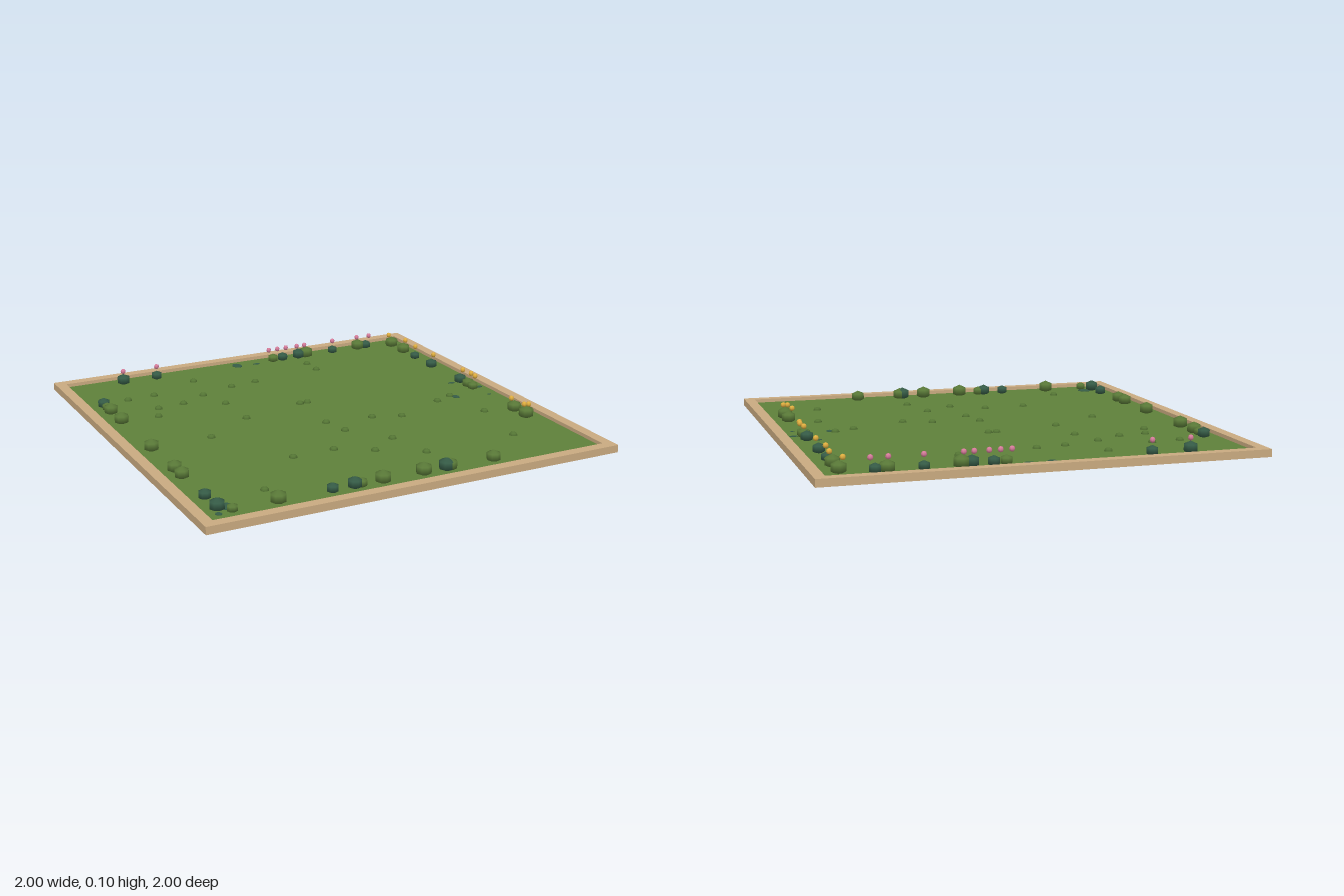
import * as THREE from 'three';

const mat = (name, color) => {
  const m = new THREE.MeshStandardMaterial({ color });
  m.name = name;
  return m;
};

export function createModel() {
  const garden = new THREE.Group();
  garden.name = 'garden';
  const lawnGreen = mat('lawn green', 0x5e803a);
  const tan = mat('timber tan', 0xc9aa80);
  const leaf = mat('leaf green', 0x5a7a38);
  const darkLeaf = mat('dark leaf green', 0x365c47);
  const tuftGreen = mat('tuft green', 0x547534);
  const pink = mat('pink petals', 0xd87d9c);
  const yellow = mat('yellow petals', 0xe2b040);
  const LAWN = 0.018;

  const add = (parent, name, geometry, material, x = 0, y = 0, z = 0) => {
    const mesh = new THREE.Mesh(geometry, material);
    mesh.name = name;
    mesh.position.set(x, y, z);
    parent.add(mesh);
    return mesh;
  };
  const group = (name) => {
    const g = new THREE.Group();
    g.name = name;
    garden.add(g);
    return g;
  };

  // Thin lawn slab inside the border
  add(garden, 'lawn', new THREE.BoxGeometry(1.9, 0.014, 1.9), lawnGreen, 0, LAWN - 0.007, 0);

  // Timber border: square ring
  const square = (Type, h) => new Type([[-h, -h], [h, -h], [h, h], [-h, h]].map(p => new THREE.Vector2(...p)));
  const ring = square(THREE.Shape, 1);
  ring.holes.push(square(THREE.Path, 0.95));
  const ringGeo = new THREE.ExtrudeGeometry(ring, { depth: 0.035, bevelEnabled: false });
  ringGeo.rotateX(-Math.PI / 2);
  add(garden, 'border', ringGeo, tan);

  // Bushes: [position along row, radius, dark leaves]
  const bushGeo = new THREE.SphereGeometry(1, 8, 3);
  const bushRow = (name, place, list) => {
    const g = group(name);
    for (const [t, r, dark] of list) {
      const [x, z] = place(t);
      add(g, 'bush', bushGeo, dark ? darkLeaf : leaf, x, LAWN + 0.6 * r, z).scale.set(r, 0.82 * r, r);
    }
  };
  bushRow('backBushes', t => [t, -0.88], [
    [-0.67, 0.036, 1], [-0.49, 0.03, 1], [0.17, 0.03, 0], [0.225, 0.03, 1], [0.32, 0.036, 1],
    [0.365, 0.04, 0], [0.525, 0.028, 1], [0.68, 0.038, 0], [0.73, 0.03, 1],
  ]);
  bushRow('leftBushes', t => [0.873, t], [
    [-0.84, 0.038, 0], [-0.71, 0.038, 0], [-0.585, 0.027, 1], [-0.415, 0.032, 1], [-0.13, 0.033, 1],
    [-0.055, 0.032, 0], [-0.01, 0.028, 0], [0.36, 0.037, 0], [0.46, 0.04, 0],
  ]);
  bushRow('rightBushes', t => [-0.877, t], [
    [-0.58, 0.033, 1], [-0.53, 0.027, 0], [-0.475, 0.037, 0], [-0.325, 0.039, 0], [0.075, 0.039, 0],
    [0.355, 0.037, 0], [0.44, 0.037, 0], [0.695, 0.032, 1], [0.825, 0.038, 1],
  ]);
  bushRow('frontBushes', t => [t, 0.87], [
    [-0.83, 0.027, 0], [-0.625, 0.04, 0], [-0.375, 0.03, 1], [-0.27, 0.036, 1], [-0.24, 0.03, 0],
    [-0.135, 0.04, 0], [0.065, 0.04, 0], [0.18, 0.04, 1], [0.195, 0.038, 0], [0.42, 0.036, 0],
  ]);

  // Blossoms resting on the back and left bushes
  const blossomGeo = new THREE.SphereGeometry(0.0135, 6, 4);
  const pinks = group('pinkBlossoms');
  for (const x of [-0.67, -0.49, 0.145, 0.195, 0.245, 0.31, 0.355, 0.525, 0.675, 0.75])
    add(pinks, 'blossom', blossomGeo, pink, x, 0.083, -0.88);
  const yellows = group('yellowBlossoms');
  for (const [x, z] of [[0.855, -0.84], [0.885, -0.71], [0.875, -0.585], [0.885, -0.415], [0.885, -0.125],
    [0.89, -0.055], [0.885, -0.01], [0.855, 0.36], [0.86, 0.46], [0.88, 0.468]])
    add(yellows, 'blossom', blossomGeo, yellow, x, 0.083, z);

  // Low grass tufts scattered over the lawn
  const tuftGeo = new THREE.SphereGeometry(0.02, 8, 4);
  tuftGeo.scale(1, 0.8, 1);
  const tufts = group('grassTufts');
  for (const [x, z] of [
    [-0.34, -0.75], [0.31, -0.755], [0.31, -0.645], [-0.74, -0.62], [-0.6, -0.63], [-0.2, -0.585],
    [-0.06, -0.605], [-0.38, -0.525], [-0.65, -0.435], [-0.515, -0.45], [-0.33, -0.36], [-0.69, -0.33],
    [-0.325, -0.12], [-0.005, -0.195], [0.035, -0.195], [-0.575, 0.045], [-0.015, 0.105], [0.215, 0.135],
    [0.35, 0.185], [0.015, 0.24], [0.615, 0.075], [0.71, 0.035], [0.74, 0.305], [-0.35, 0.44],
    [-0.145, 0.435], [0.16, 0.43], [0.015, 0.53], [0.21, 0.65], [0.68, 0.64], [-0.62, 0.725],
  ]) add(tufts, 'tuft', tuftGeo, tuftGreen, x, LAWN, z);

  // Thin dark ground-cover patches: [x, z, half width, half depth]
  const patchGeo = new THREE.CylinderGeometry(1, 1, 0.002, 7);
  const patches = group('groundCover');
  for (const [x, z, a, b] of [
    [-0.035, -0.89, 0.025, 0.035], [0.255, -0.925, 0.025, 0.022], [0.07, -0.875, 0.02, 0.01],
    [0.73, 0.06, 0.018, 0.025], [-0.83, 0.815, 0.033, 0.04], [0.825, -0.135, 0.02, 0.01],
    [0.915, -0.02, 0.02, 0.012], [-0.89, 0.87, 0.015, 0.018], [0.9, 0.1, 0.01, 0.006],
  ]) add(patches, 'patch', patchGeo, darkLeaf, x, LAWN + 0.001, z).scale.set(a, 1, b);

  return garden;
}
